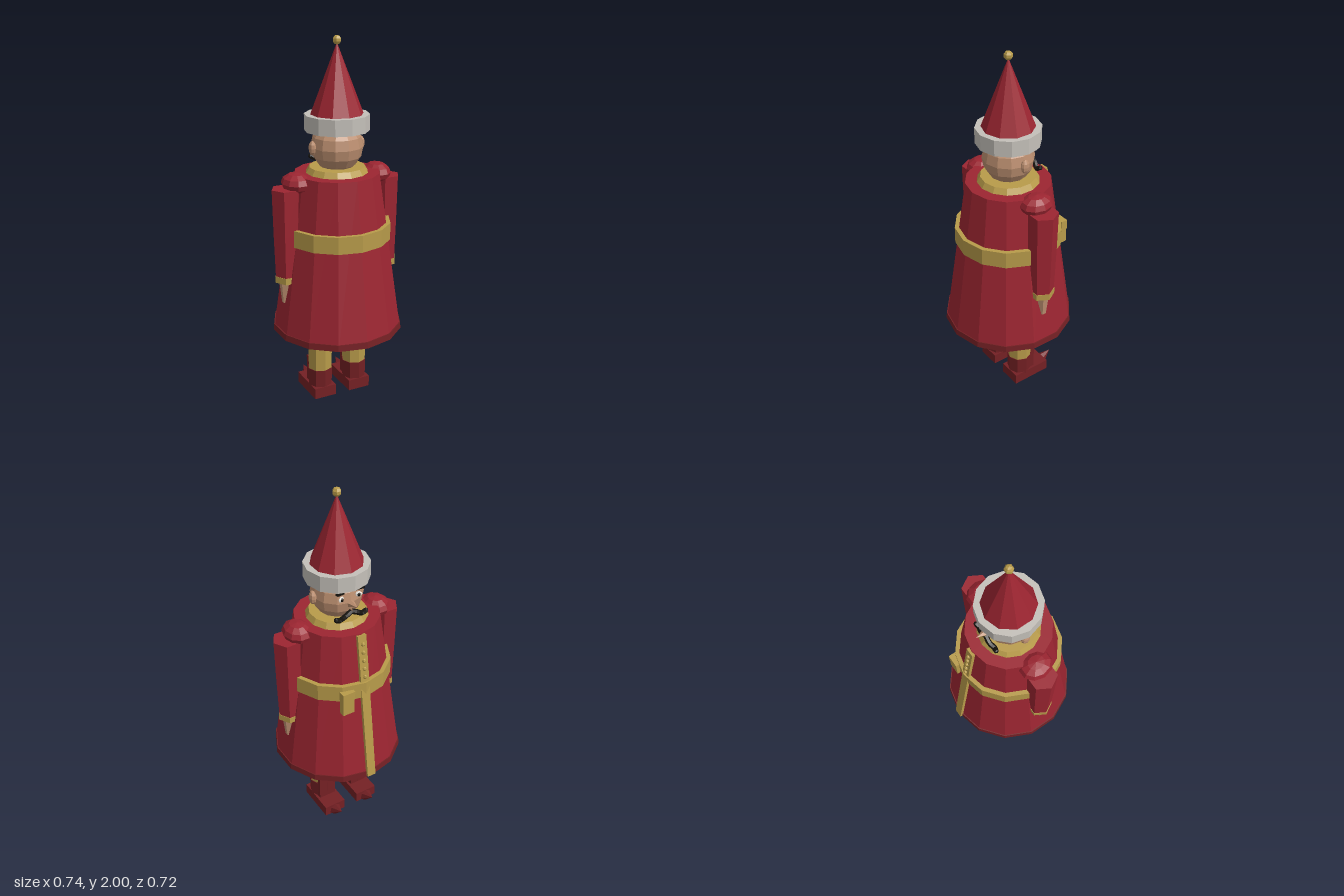
import * as THREE from 'three';

const mat = (name, color) => {
  const m = new THREE.MeshStandardMaterial({ color, flatShading: true });
  m.name = name;
  return m;
};

export function createModel() {
  const root = new THREE.Group();
  root.name = 'soldierFigure';
  const red = mat('red', 0x9c2531), gold = mat('gold', 0xb89b4a), skin = mat('skin', 0xbc8f70);
  const boot = mat('darkRed', 0x742024), grey = mat('paleGrey', 0xc4c0b9);
  const black = mat('black', 0x17140f), white = mat('white', 0xe6e2da);

  const add = (name, geo, m, x = 0, y = 0, z = 0, parent = root) => {
    const mesh = new THREE.Mesh(geo, m);
    mesh.name = name;
    mesh.position.set(x, y, z);
    parent.add(mesh);
    return mesh;
  };
  // Upright tapered prism given by its bottom and top heights
  const prism = (name, m, rTop, rBottom, y0, y1, sides, x = 0, z = 0, parent = root) =>
    add(name, new THREE.CylinderGeometry(rTop, rBottom, y1 - y0, sides), m, x, (y0 + y1) / 2, z, parent);
  const ball = (name, m, rx, ry, rz, x, y, z, w = 8, h = 6, parent = root) =>
    add(name, new THREE.SphereGeometry(1, w, h).scale(rx, ry, rz), m, x, y, z, parent);
  const box = (name, m, w, h, d, x, y, z, parent = root) =>
    add(name, new THREE.BoxGeometry(w, h, d), m, x, y, z, parent);

  // Coat, hem, belt and collar
  const coatRadius = y => 0.226 + (1.3 - y) * 0.145;
  prism('coat', red, 0.226, coatRadius(0.43), 0.43, 1.3, 14);
  prism('hem', boot, 0.353, 0.356, 0.428, 0.462, 14);
  prism('belt', gold, 0.288, 0.288, 0.94, 1.032, 14);
  prism('collar', gold, 0.147, 0.168, 1.295, 1.33, 14);

  // Trim strips following the slope of the coat front (-z)
  const strip = (name, y0, y1, out) => {
    const y = (y0 + y1) / 2;
    const s = box(name, gold, 0.05, (y1 - y0) * 1.01, 0.02, 0, y, -coatRadius(y) - out);
    s.rotation.x = Math.atan(0.145);
  };
  strip('buttonPlacket', 1.0, 1.295, 0.002);
  strip('skirtTrim', 0.435, 1.0, 0.002);
  for (let i = 0; i < 5; i++) {
    const y = 1.25 - i * 0.047;
    ball('button', gold, 0.012, 0.012, 0.012, 0, y, -coatRadius(y) - 0.014, 6, 4);
  }
  box('pouch', gold, 0.066, 0.13, 0.035, 0.105, 0.935, -0.272);
  box('pouchFlap', gold, 0.07, 0.05, 0.038, 0.105, 0.98, -0.273);

  // Head and face
  ball('head', skin, 0.137, 0.137, 0.137, 0, 1.435, 0, 12, 8);
  const nose = add('nose', new THREE.ConeGeometry(0.026, 0.08, 5), skin, 0, 1.432, -0.155);
  nose.rotation.x = -Math.PI / 2 + 0.12;

  // Hat
  prism('hatBand', grey, 0.17, 0.17, 1.52, 1.605, 12);
  add('hatCone', new THREE.ConeGeometry(0.14, 0.365, 10), red, 0, 1.7825, 0);
  ball('hatBall', gold, 0.024, 0.024, 0.024, 0, 1.976, 0, 6, 5);

  for (const s of [1, -1]) {
    const side = s > 0 ? 'left' : 'right';

    // Ears, eyes, brows and moustache halves
    ball(side + 'Ear', skin, 0.019, 0.038, 0.025, s * 0.141, 1.438, 0);
    ball(side + 'Eye', white, 0.02, 0.015, 0.008, s * 0.05, 1.462, -0.123).rotation.y = s * 0.4;
    ball(side + 'Pupil', black, 0.009, 0.01, 0.006, s * 0.05, 1.462, -0.13);
    const brow = box(side + 'Brow', black, 0.055, 0.013, 0.016, s * 0.056, 1.497, -0.122);
    brow.rotation.set(0, s * 0.4, s * 0.25);
    const whisker = new THREE.CatmullRomCurve3([[0, 1.385, -0.138], [0.035, 1.37, -0.142],
      [0.065, 1.348, -0.132], [0.088, 1.36, -0.137]].map(p => new THREE.Vector3(s * p[0], p[1], p[2])));
    const tube = new THREE.TubeGeometry(whisker, 8, 0.014, 6);
    add(side + 'Moustache', tube, black);
    ball(side + 'MoustacheTip', black, 0.013, 0.013, 0.013, s * 0.088, 1.36, -0.137, 6, 4);

    // Arm hangs beside the coat
    const arm = new THREE.Group();
    arm.name = side + 'Arm';
    root.add(arm);
    const sleeve = (name, m, rt, rb, y0, y1, x) => {
      prism(name, m, rt, rb, y0, y1, 6, s * x, 0, arm).rotation.y = Math.PI / 2;
    };
    ball('shoulder', red, 0.076, 0.054, 0.09, s * 0.236, 1.268, 0, 10, 6, arm);
    sleeve('upperSleeve', red, 0.078, 0.073, 1.0, 1.245, 0.294);
    sleeve('lowerSleeve', red, 0.073, 0.066, 0.77, 1.0, 0.294);
    sleeve('cuff', gold, 0.069, 0.069, 0.737, 0.772, 0.294);
    prism('hand', skin, 0.036, 0.022, 0.615, 0.74, 6, s * 0.304, 0, arm);

    // Leg, boot and upturned toe
    const leg = new THREE.Group();
    leg.name = side + 'Leg';
    leg.position.x = s * 0.106;
    root.add(leg);
    prism('trouser', gold, 0.073, 0.067, 0.18, 0.44, 8, 0, 0, leg);
    prism('bootShaft', boot, 0.07, 0.068, 0.07, 0.182, 8, 0, 0, leg);
    box('bootFront', boot, 0.1, 0.16, 0.068, 0, 0.15, -0.034, leg);
    box('foot', boot, 0.128, 0.062, 0.225, 0, 0.051, -0.043, leg);
    const toe = add('toe', new THREE.ConeGeometry(0.044, 0.097, 6), boot, 0, 0.06, -0.181, leg);
    toe.rotation.x = -Math.PI / 2 + 0.43;
  }
  return root;
}
